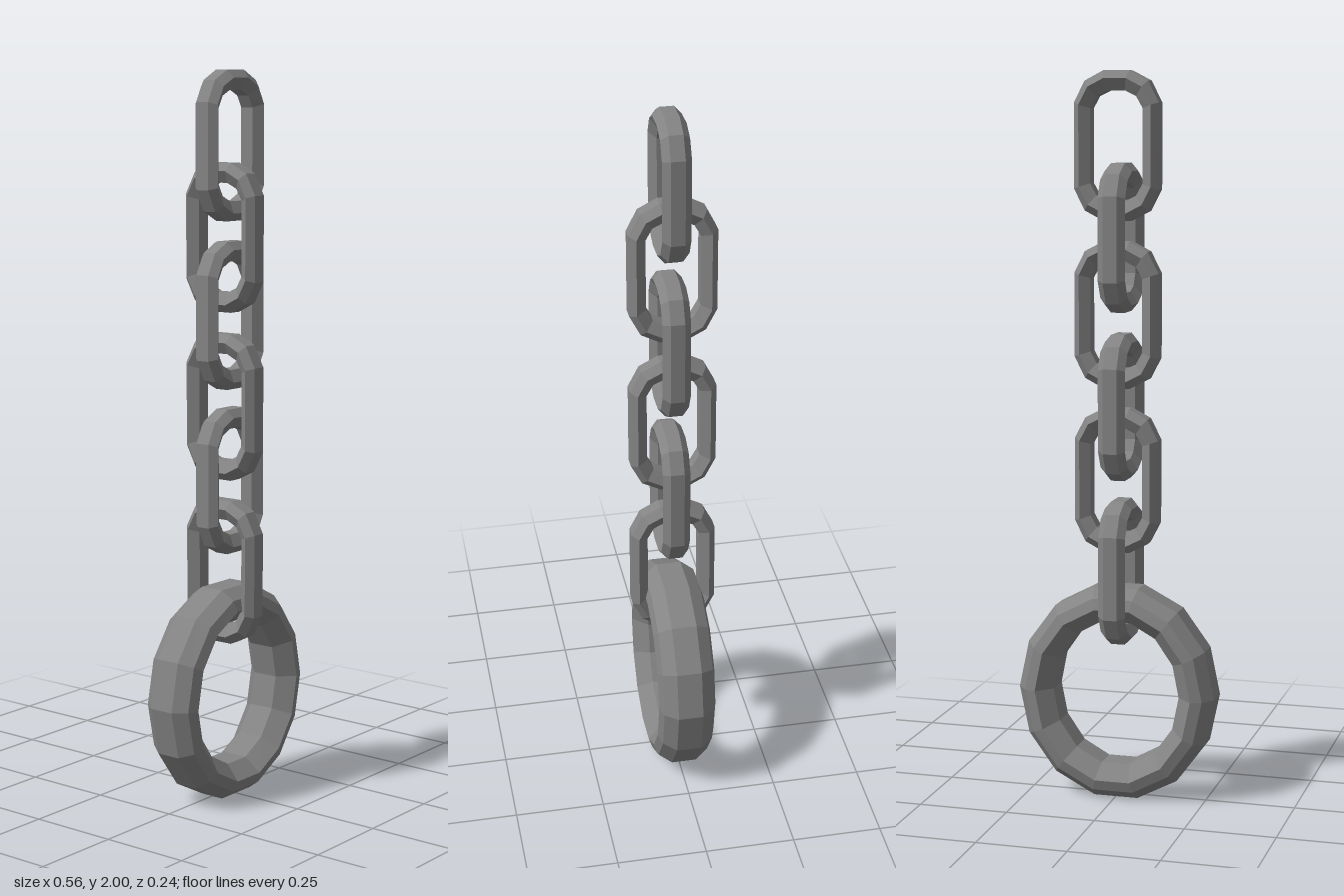
import * as THREE from 'three';

// Closed faceted loop: each station has an outer and inner point in XY;
// the section is a list of [t from outer to inner, z].
function loopGeometry(outer, inner, section) {
  const n = outer.length, m = section.length;
  const pos = [], index = [];
  for (let i = 0; i < n; i++) {
    for (const [t, z] of section) {
      pos.push(
        outer[i][0] + (inner[i][0] - outer[i][0]) * t,
        outer[i][1] + (inner[i][1] - outer[i][1]) * t,
        z
      );
    }
  }
  for (let i = 0; i < n; i++) {
    const j = (i + 1) % n;
    for (let s = 0; s < m; s++) {
      const k = (s + 1) % m;
      const a = i * m + s, b = j * m + s, c = j * m + k, d = i * m + k;
      index.push(a, b, c, a, c, d);
    }
  }
  const indexed = new THREE.BufferGeometry();
  indexed.setAttribute('position', new THREE.Float32BufferAttribute(pos, 3));
  indexed.setIndex(index);
  const geometry = indexed.toNonIndexed();
  geometry.computeVertexNormals();
  return geometry;
}

// Mirror a half section (front side, outer to inner) to the back
const mirrorSection = (half) => [
  [half[0][0], -half[0][1]],
  ...half,
  ...half.slice(1).reverse().map(([t, z]) => [t, -z]),
];

// Counter-clockwise outline from one quarter, running from side to top
function mirrorQuarter(q) {
  const r = [...q].reverse();
  return [
    ...q,
    ...r.map(([x, y]) => [-x, y]),
    ...q.map(([x, y]) => [-x, -y]),
    ...r.map(([x, y]) => [x, -y]),
  ];
}

function ellipse(rx, ry, sides) {
  return Array.from({ length: sides }, (_, i) => {
    const a = (i / sides) * Math.PI * 2;
    return [rx * Math.cos(a), ry * Math.sin(a)];
  });
}

export function createModel() {
  const group = new THREE.Group();
  const iron = new THREE.MeshStandardMaterial({ color: 0x848484, flatShading: true });
  iron.name = 'iron grey';

  // Large ring at the bottom
  const ring = new THREE.Mesh(
    loopGeometry(
      ellipse(0.28, 0.305, 14),
      ellipse(0.18, 0.207, 14),
      mirrorSection([[0, 0.035], [0.27, 0.071], [0.58, 0.081], [1, 0.038]])
    ),
    iron
  );
  ring.name = 'ring';
  ring.position.y = 0.298;
  group.add(ring);

  // Chain links, alternating direction from the top down
  const linkGeometry = loopGeometry(
    mirrorQuarter([[0.118, 0.115], [0.088, 0.173], [0.036, 0.2]]),
    mirrorQuarter([[0.073, 0.1], [0.055, 0.132], [0.024, 0.147]]),
    mirrorSection([[0, 0.019], [0.4, 0.038], [1, 0.019]])
  );
  const tops = [2, 1.755, 1.545, 1.295, 1.09, 0.837];
  tops.forEach((top, i) => {
    const link = new THREE.Mesh(linkGeometry, iron);
    const turned = i % 2 === 1;
    link.name = `chainLink${i + 1}`;
    link.position.set(turned ? -0.006 : 0.006, top - 0.2, turned ? 0 : 0.009);
    if (turned) link.rotation.y = Math.PI / 2;
    group.add(link);
  });

  return group;
}
